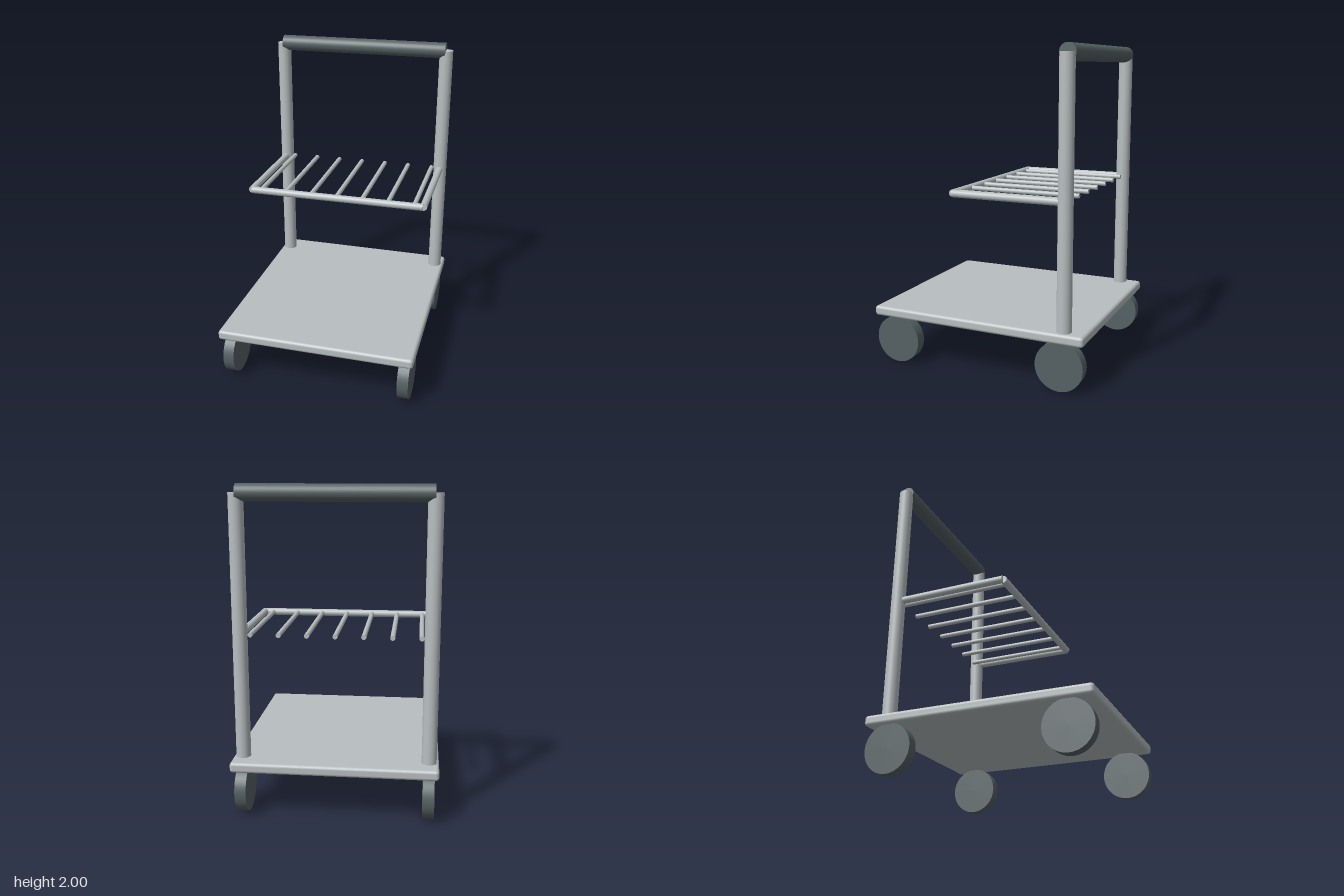
import * as THREE from 'three';
import { RoundedBoxGeometry } from 'three/addons/geometries/RoundedBoxGeometry.js';

export function createModel() {
  const model = new THREE.Group();
  model.name = 'pushCart';

  const metal = new THREE.MeshStandardMaterial({ color: 0xb8bec0 });
  metal.name = 'light grey metal';
  const rubber = new THREE.MeshStandardMaterial({ color: 0x566264 });
  rubber.name = 'dark grey rubber';

  // Cylinder along one axis, placed by its centre
  function rod(name, parent, axis, radius, length, x, y, z, material, sides = 32) {
    const geometry = new THREE.CylinderGeometry(radius, radius, length, sides);
    if (axis === 'x') geometry.rotateZ(Math.PI / 2);
    if (axis === 'z') geometry.rotateX(Math.PI / 2);
    const mesh = new THREE.Mesh(geometry, material);
    mesh.name = name;
    mesh.position.set(x, y, z);
    parent.add(mesh);
  }

  // Deck
  const deck = new THREE.Mesh(new RoundedBoxGeometry(1.254, 0.064, 1.41, 4, 0.02), metal);
  deck.name = 'deck';
  deck.position.y = 0.327;
  model.add(deck);

  const sideX = 0.567;
  const postZ = -0.57;

  // Wheels and posts, mirrored left and right
  for (const side of [1, -1]) {
    const label = side > 0 ? 'left' : 'right';
    rod(label + 'FrontWheel', model, 'x', 0.15, 0.07, side * sideX, 0.15, 0.55, rubber, 48);
    rod(label + 'BackWheel', model, 'x', 0.15, 0.07, side * sideX, 0.15, -0.55, rubber, 48);
    rod(label + 'Post', model, 'y', 0.045, 1.61, side * sideX, 1.145, postZ, metal);
  }

  // Push handle
  rod('handleGrip', model, 'x', 0.051, 1.13, 0, 1.949, postZ, rubber);

  // Rack: side rails, front rail and slats
  const rack = new THREE.Group();
  rack.name = 'rack';
  model.add(rack);
  const rackY = 1.12;
  const frontZ = 0.157;
  const depth = frontZ - postZ;
  const middleZ = (frontZ + postZ) / 2;
  for (const side of [1, -1]) {
    rod(side > 0 ? 'leftRail' : 'rightRail', rack, 'z', 0.023, depth, side * sideX, rackY, middleZ, metal);
  }
  rod('frontRail', rack, 'x', 0.023, 1.13, 0, rackY, frontZ, metal);
  for (let i = -3; i <= 3; i++) {
    rod('slat', rack, 'z', 0.015, depth, i * 0.169, rackY, middleZ, metal, 24);
  }

  return model;
}
